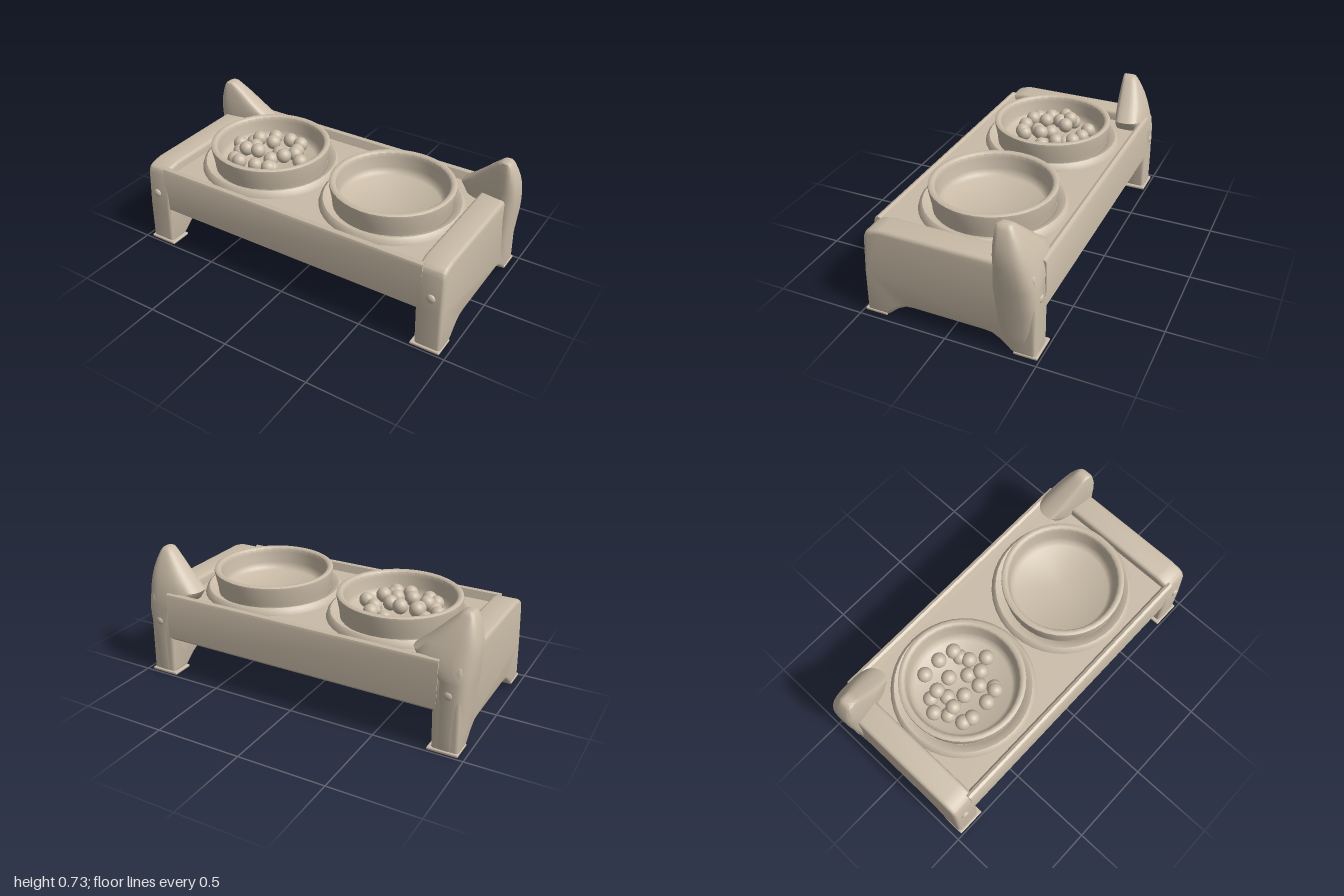
import * as THREE from 'three';
import { RoundedBoxGeometry } from 'three/addons/geometries/RoundedBoxGeometry.js';
import { toCreasedNormals } from 'three/addons/utils/BufferGeometryUtils.js';

const mat = new THREE.MeshStandardMaterial({ color: 0xc9bba7, side: THREE.DoubleSide });

function add(parent, name, geo, x = 0, y = 0, z = 0) {
  const m = new THREE.Mesh(geo, mat);
  m.name = name;
  m.position.set(x, y, z);
  parent.add(m);
  return m;
}

// Extrudes a (z, y) outline along x, centred on x = 0
function extrudeAlongX(points, width, bevel) {
  const shape = new THREE.Shape(points.map(p => new THREE.Vector2(p[0], p[1])));
  const geo = new THREE.ExtrudeGeometry(shape, {
    depth: width - 2 * bevel, bevelEnabled: bevel > 0, bevelSize: bevel,
    bevelThickness: bevel, bevelOffset: -bevel, bevelSegments: 3
  });
  geo.translate(0, 0, -(width - 2 * bevel) / 2);
  geo.rotateY(-Math.PI / 2);
  return toCreasedNormals(geo, 0.6);
}

const lathe = pts => toCreasedNormals(
  new THREE.LatheGeometry(pts.map(p => new THREE.Vector2(p[0], p[1])), 40), 0.7);

// Ear-shaped corner post: lofted rounded sections, wide at the tray and narrow at the tip
function earGeometry(side) {
  // y, inner x, outer x, back z, front z
  const rows = [
    [0.01, 0.815, 0.955, -0.48, -0.35], [0.06, 0.815, 0.96, -0.482, -0.31],
    [0.12, 0.81, 0.965, -0.482, -0.265], [0.25, 0.805, 0.975, -0.482, -0.255],
    [0.40, 0.80, 0.99, -0.48, -0.246], [0.46, 0.70, 0.995, -0.472, -0.244],
    [0.52, 0.66, 0.997, -0.458, -0.244], [0.57, 0.72, 0.995, -0.437, -0.246],
    [0.62, 0.775, 0.987, -0.415, -0.25], [0.67, 0.825, 0.972, -0.388, -0.256],
    [0.71, 0.868, 0.957, -0.363, -0.262], [0.728, 0.888, 0.945, -0.35, -0.267],
    [0.734, 0.905, 0.93, -0.335, -0.28]
  ];
  const n = 32, pos = [], idx = [];
  for (const [y, x0, x1, z0, z1] of rows) {
    for (let i = 0; i < n; i++) {
      const a = i / n * Math.PI * 2, c = Math.cos(a), s = Math.sin(a);
      const u = Math.sign(c) * Math.abs(c) ** 0.65;
      const v = Math.sign(s) * Math.abs(s) ** (s > 0 ? 0.45 : 0.7);
      const x = (x0 + x1) / 2 + u * (x1 - x0) / 2;
      // front face recedes towards the inner side
      const recede = v > 0 && y > 0.42 ? v * Math.max(0, 0.95 - x) * 0.2 : 0;
      pos.push(side * x, y, (z0 + z1) / 2 + v * (z1 - z0) / 2 - recede);
    }
  }
  const tri = (a, b, c) => side > 0 ? idx.push(a, b, c) : idx.push(a, c, b);
  for (let r = 0; r < rows.length - 1; r++) {
    for (let i = 0; i < n; i++) {
      const j = (i + 1) % n, a = r * n + i, b = r * n + j;
      tri(a, a + n, b);
      tri(b, a + n, b + n);
    }
  }
  const top = (rows.length - 1) * n;
  for (let i = 1; i < n - 1; i++) {
    tri(0, i, i + 1);
    tri(top, top + i + 1, top + i);
  }
  const geo = new THREE.BufferGeometry();
  geo.setAttribute('position', new THREE.Float32BufferAttribute(pos, 3));
  geo.setIndex(idx);
  return toCreasedNormals(geo, 0.8);
}

export function createModel() {
  const model = new THREE.Group();
  model.name = 'raisedFeeder';

  // Tray: open trough with thin front and back walls
  add(model, 'tray', extrudeAlongX([
    [-0.465, 0.225], [0.455, 0.225], [0.47, 0.24], [0.472, 0.49], [0.465, 0.505], [0.45, 0.512],
    [0.435, 0.505], [0.42, 0.46], [-0.42, 0.46], [-0.44, 0.505], [-0.455, 0.512],
    [-0.472, 0.505], [-0.478, 0.49], [-0.478, 0.24]
  ], 1.66, 0));

  // End panels with an arched lower edge, leaning slightly outwards at the bottom
  const half = [
    [0, 0.09], [0.2, 0.09], [0.245, 0.085], [0.29, 0.06], [0.345, 0.012], [0.36, 0.005],
    [0.478, 0.005], [0.478, 0.25], [0.468, 0.46], [0.455, 0.49], [0.43, 0.506], [0.37, 0.518]
  ];
  const outline = [...half, ...half.slice(1).reverse().map(([z, y]) => [-z, y])];
  for (const side of [1, -1]) {
    const name = side > 0 ? 'left' : 'right';
    const panel = extrudeAlongX(outline, 0.15, 0.02);
    const p = panel.attributes.position;
    for (let i = 0; i < p.count; i++) p.setX(i, p.getX(i) + side * (0.25 - p.getY(i)) * 0.025);
    add(model, name + 'EndPanel', panel, side * 0.882);
    add(model, name + 'Ledge', new THREE.BoxGeometry(0.08, 0.018, 0.6), side * 0.775, 0.216, 0);
    add(model, name + 'Ear', earGeometry(side));

    for (const end of [1, -1]) {
      const where = name + (end > 0 ? 'Front' : 'Back');
      add(model, where + 'FootPad', new RoundedBoxGeometry(0.17, 0.016, 0.13, 2, 0.006),
        side * 0.88, 0.008, end * 0.425);
      const screw = add(model, where + 'Screw', new THREE.SphereGeometry(0.025, 16, 10),
        side * 0.89, 0.33, end * 0.474);
      screw.scale.z = 0.6;
    }
  }

  // Bowls resting in raised collars
  const bowlProfile = [
    [0, 0.445], [0.325, 0.445], [0.33, 0.5], [0.346, 0.585], [0.345, 0.597], [0.335, 0.603],
    [0.32, 0.602], [0.31, 0.594], [0.305, 0.57], [0.298, 0.51], [0.288, 0.48],
    [0.268, 0.467], [0, 0.465]
  ];
  const collarProfile = [[0.405, 0.455], [0.395, 0.485], [0.38, 0.497], [0.36, 0.492], [0.33, 0.47]];
  for (const side of [1, -1]) {
    const name = side > 0 ? 'left' : 'right';
    add(model, name + 'Bowl', lathe(bowlProfile), side * 0.405);
    add(model, name + 'Collar', lathe(collarProfile), side * 0.405);
  }

  // Food pellets in the right bowl: x, z
  const pellets = [
    [-0.51, -0.19], [-0.40, -0.19], [-0.31, -0.165], [-0.305, -0.12], [-0.285, -0.07],
    [-0.535, -0.065], [-0.585, -0.07], [-0.63, 0], [-0.44, -0.07], [-0.355, -0.01],
    [-0.21, -0.01], [-0.295, 0.03], [-0.585, 0.065], [-0.54, 0.06], [-0.455, 0.06],
    [-0.355, 0.075], [-0.305, 0.14], [-0.315, 0.155], [-0.56, 0.15], [-0.51, 0.17],
    [-0.395, 0.17], [-0.52, -0.005]
  ];
  const food = new THREE.Group();
  food.name = 'food';
  model.add(food);
  const pelletGeo = new THREE.SphereGeometry(0.043, 16, 12);
  pellets.forEach(([x, z], i) => {
    const r = Math.hypot(x + 0.42, z);
    add(food, 'pellet', pelletGeo, x, (r < 0.14 ? 0.53 : 0.508) + (i % 3) * 0.01, z);
  });
  return model;
}
